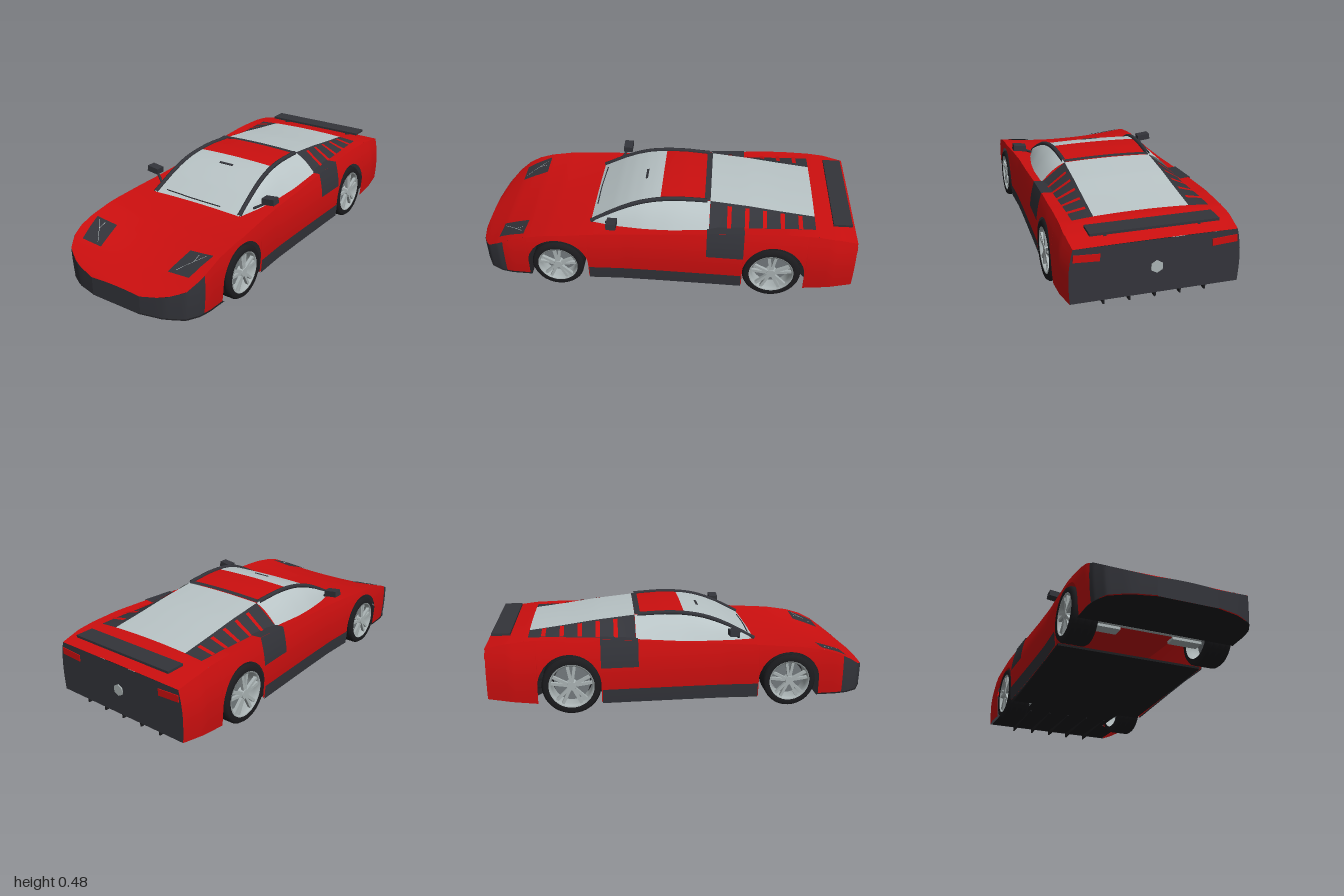
import * as THREE from 'three';

const paintOf = (name, color) => new THREE.MeshStandardMaterial({ name, color, side: THREE.DoubleSide });
const red = paintOf('body red', 0xcc0f0f);
const trim = paintOf('dark trim', 0x33343a);
const glass = paintOf('pale glass', 0xb9c4c6);
const black = paintOf('rubber black', 0x1c1c1f);
const steel = paintOf('wheel silver', 0xaab3b4);
const shade = paintOf('brake grey', 0x737a7d);

// Piecewise curve through [z, value] pairs, listed from front to back
const curve = pts => z => {
  let i = 1;
  while (i < pts.length - 1 && z < pts[i][0]) i++;
  const [a, b] = [pts[i - 1], pts[i]];
  const t = THREE.MathUtils.clamp((z - a[0]) / (b[0] - a[0]), 0, 1);
  return a[1] + (b[1] - a[1]) * t;
};
const range = (a, b, n) => Array.from({ length: n + 1 }, (_, i) => a + (b - a) * i / n);

// Main lines of the body along z
const width = curve([[0.997, 0.15], [0.97, 0.27], [0.92, 0.36], [0.86, 0.393], [0.8, 0.405], [0.54, 0.414], [0.2, 0.402],
  [0, 0.405], [-0.3, 0.412], [-0.6, 0.421], [-0.88, 0.418], [-1, 0.4]]);
const belt = curve([[0.997, 0.145], [0.97, 0.165], [0.92, 0.2], [0.865, 0.238], [0.8, 0.27], [0.72, 0.295], [0.6, 0.314], [0.36, 0.332],
  [0, 0.35], [-0.25, 0.37], [-0.45, 0.382], [-0.65, 0.39], [-0.8, 0.386], [-0.9, 0.374], [-1, 0.352]]);
const centre = curve([[0.997, 0.152], [0.92, 0.192], [0.86, 0.222], [0.72, 0.268], [0.6, 0.294], [0.36, 0.326], [0, 0.34],
  [-0.25, 0.36], [-0.6, 0.372], [-0.79, 0.393], [-0.9, 0.378], [-1, 0.354]]);
const roof = curve([[0.375, 0.328], [0.25, 0.396], [0.18, 0.427], [0.11, 0.45], [0.05, 0.462], [-0.02, 0.469], [-0.1, 0.471],
  [-0.25, 0.463], [-0.45, 0.442], [-0.61, 0.419], [-0.79, 0.396]]);
const roofEdge = curve([[0.375, 0.27], [0, 0.237], [-0.22, 0.228], [-0.79, 0.23]]);
const glassFoot = curve([[0.375, 0.276], [0.25, 0.312], [0.1, 0.336], [-0.05, 0.348], [-0.25, 0.35], [-0.3, 0.335], [-0.79, 0.33]]);
const sideX = (z, y) => width(z) - 0.025 * ((y - 0.2) / 0.17) ** 2 * (y > 0.2 ? 1 : 0.5);
const deckY = (x, z) => {
  const s = x / sideX(z, belt(z));
  return centre(z) + (belt(z) - centre(z)) * s * s;
};
const arches = [{ z: 0.54, y: 0.14, ry: 0.15 }, { z: -0.59, y: 0.15, ry: 0.165 }];
const bottom = z => {
  for (const a of arches) {
    const d = Math.abs(z - a.z) / 0.16;
    if (d < 1) return a.y + a.ry * Math.sqrt(1 - d * d);
  }
  return z < -0.75 ? 0.06 + (-0.75 - z) * 0.12 : 0.055;
};

export function createModel() {
  const car = new THREE.Group();
  car.name = 'sportsCar';
  const add = (name, geo, mat, parent = car) => {
    const m = new THREE.Mesh(geo, mat);
    m.name = name;
    parent.add(m);
    return m;
  };
  const box = (name, mat, size, pos, parent = car) => {
    const m = add(name, new THREE.BoxGeometry(...size), mat, parent);
    m.position.set(...pos);
    return m;
  };
  // Smooth sheet over a grid of (u, v)
  const sheet = (name, mat, us, vs, f, mirror = 1) => {
    const pos = [], idx = [], n = vs.length;
    us.forEach(u => vs.forEach(v => { const p = f(u, v); pos.push(p[0] * mirror, p[1], p[2]); }));
    for (let i = 0; i < us.length - 1; i++) for (let j = 0; j < n - 1; j++) {
      const a = i * n + j;
      if (mirror > 0) idx.push(a, a + 1, a + n, a + 1, a + n + 1, a + n);
      else idx.push(a, a + n, a + 1, a + 1, a + n, a + n + 1);
    }
    const g = new THREE.BufferGeometry();
    g.setAttribute('position', new THREE.Float32BufferAttribute(pos, 3));
    g.setIndex(idx);
    g.computeVertexNormals();
    return add(name, g, mat);
  };
  const tube = (name, mat, pts, r) => add(name, new THREE.TubeGeometry(
    new THREE.CatmullRomCurve3(pts.map(p => new THREE.Vector3(...p))), 24, r, 8), mat);

  // Stations along the flank, doubled at the arch edges for crisp cut-outs
  const stations = [...range(0.83, -1, 90)];
  for (const a of arches) for (const e of [0.16, -0.16]) stations.push(a.z + e + 0.0005, a.z + e - 0.0005, a.z + e * 0.985, a.z + e * 0.95);
  stations.sort((a, b) => b - a);
  const noseZ = range(0.997, 0.83, 20), unit = range(0, 1, 8), across = range(-1, 1, 16);

  // Bonnet, shoulders and tail deck
  sheet('upperBody', red, range(0.997, -1, 100), across, (z, s) => {
    const x = s * sideX(z, belt(z));
    return [x, deckY(x, z), z];
  });
  // End panels
  sheet('nosePanel', trim, across, unit, (s, t) => {
    const x = s * sideX(0.997, belt(0.997));
    return [x, 0.05 + (deckY(x, 0.997) - 0.05) * t, 0.997];
  });
  sheet('tailPanel', trim, across, unit, (s, t) => {
    const y = 0.09 + (belt(-1) - 0.09) * t;
    return [s * sideX(-1, y), y, -1];
  });
  // Roof sheets, front to back
  const crown = (z, s) => [s * roofEdge(z), roof(z) + 0.006 * (1 - s * s), z];
  sheet('windscreen', glass, range(0.375, 0.01, 20), across, crown);
  sheet('roofPanel', red, range(0.01, -0.22, 12), across, crown);
  sheet('roofBar', trim, range(-0.22, -0.25, 2), across, (z, s) => { const p = crown(z, s); p[1] += 0.003; return p; });
  sheet('engineCover', glass, range(-0.25, -0.79, 20), across, crown);

  for (const m of [1, -1]) {
    const side = m > 0 ? 'left' : 'right';
    const flank = (z, t) => {
      const y = bottom(z) + (belt(z) - bottom(z)) * t;
      return [sideX(z, y), y, z];
    };
    sheet(side + 'Flank', red, stations, unit, flank, m);
    sheet(side + 'Bumper', trim, noseZ, unit, flank, m);
    sheet(side + 'Sill', trim, range(0.375, -0.425, 20), [0.05, 0.09, 0.125], (z, y) => [sideX(z, y) + 0.005, y, z], m);
    // Air intake patch wrapping over the shoulder
    const patch = range(-0.24, -0.43, 8);
    sheet(side + 'Intake', trim, patch, unit, (z, t) => {
      const y = 0.24 + (belt(z) + 0.003 - 0.24) * t;
      return [sideX(z, y) + 0.004, y, z];
    }, m);
    sheet(side + 'IntakeTop', trim, patch, unit, (z, t) => {
      const x = 0.32 + (sideX(z, belt(z)) + 0.004 - 0.32) * t;
      return [x, deckY(x, z) + 0.004, z];
    }, m);

    // Side glass and louvred buttress between roof edge and deck
    const slope = lift => (z, t) => {
      const x0 = roofEdge(z), x1 = glassFoot(z), y1 = deckY(x1, z);
      return [x0 + (x1 - x0) * t + lift, roof(z) + (y1 - roof(z)) * t + lift + 0.012 * Math.sin(t * Math.PI) * (z > -0.25 ? 1 : 0), z];
    };
    sheet(side + 'Window', glass, range(0.375, -0.249, 24), unit, slope(0), m);
    sheet(side + 'Buttress', trim, range(-0.25, -0.79, 20), unit, slope(0), m);
    for (let i = 0; i < 5; i++) {
      const z = -0.35 - i * 0.091;
      sheet(side + 'Louvre', red, [z + 0.011, z - 0.011], [0.12, 0.5, 1], slope(0.005), m);
    }
    // Roof rail running down the screen pillar
    tube(side + 'Pillar', trim, range(0.375, -0.235, 12).map(z => [m * roofEdge(z), roof(z) + 0.001, z]), 0.012);

    // Headlamp with a thin branching light strip
    const lamp = (u, v) => {
      const xa = 0.366 + (0.232 - 0.366) * u, xb = 0.333 + (0.21 - 0.333) * u;
      const x = xa + (xb - xa) * v, z = 0.72 + 0.143 * v;
      return [x, deckY(x, z) + 0.005, z];
    };
    sheet(side + 'Headlamp', trim, unit, unit, lamp, m);
    for (const [a, b] of [[[0.2, 0.1], [0.75, 0.9]], [[0.5, 0.12], [0.42, 0.42]]]) {
      sheet(side + 'LampStrip', steel, unit, [-0.012, 0.012], (t, w) => {
        const p = lamp(a[0] + (b[0] - a[0]) * t + w, a[1] + (b[1] - a[1]) * t);
        return [p[0], p[1] + 0.003, p[2]];
      }, m);
    }

    // Door mirror
    tube(side + 'MirrorArm', trim, [[m * 0.3, 0.348, 0.29], [m * 0.33, 0.365, 0.27], [m * 0.36, 0.383, 0.255]], 0.007);
    const mirror = box(side + 'Mirror', trim, [0.07, 0.032, 0.05], [m * 0.374, 0.395, 0.25]);
    mirror.rotation.z = m * 0.12;

    // Tail lamp and wing support
    const lampBack = box(side + 'TailLamp', red, [0.12, 0.034, 0.008], [m * 0.32, 0.305, -1]);
    lampBack.rotation.z = m * 0.06;
    box(side + 'WingPost', trim, [0.012, 0.035, 0.04], [m * 0.22, 0.383, -0.92]);
  }

  // Rear wing, screen fittings and exhaust
  box('rearWing', trim, [0.6, 0.012, 0.095], [0, 0.398, -0.928]);
  const cabinMirror = box('cabinMirror', trim, [0.084, 0.004, 0.012], [0, 0.46, 0.1]);
  cabinMirror.rotation.x = 0.35;
  tube('wiper', trim, [[-0.21, 0.347, 0.352], [-0.02, 0.345, 0.36], [0.145, 0.343, 0.358]], 0.003);
  const exhaust = add('exhaust', new THREE.CylinderGeometry(0.03, 0.03, 0.012, 6), steel);
  exhaust.rotation.x = Math.PI / 2;
  exhaust.position.set(0, 0.22, -1);

  // Underbody
  sheet('frontFloor', black, range(0.998, 0.69, 24), across, (z, s) => [s * (width(z) - 0.006), 0.049, z]);
  box('middleFloor', black, [0.78, 0.012, 0.81], [0, 0.056, -0.025]);
  sheet('rearFloor', black, range(-0.43, -1, 8), across, (z, s) => [s * (z < -0.74 ? 0.385 : 0.275), 0.06 + (-0.43 - z) * 0.055, z]);
  for (const x of [-0.24, -0.12, 0, 0.12, 0.24]) box('diffuserFin', black, [0.008, 0.025, 0.4], [x, 0.075, -0.79]);

  // Wheels: outer face points along local +x
  const lathe = pts => new THREE.LatheGeometry(pts.map(p => new THREE.Vector2(...p)), 40).rotateZ(-Math.PI / 2);
  const makeWheel = (R, w) => {
    const g = new THREE.Group(), h = w / 2, r = R * 0.77;
    const tread = [];
    for (const k of [-0.5, 0, 0.5]) tread.push([R, k * h - 0.006], [R - 0.006, k * h - 0.003], [R - 0.006, k * h + 0.003], [R, k * h + 0.006]);
    add('tyre', lathe([[r, -h], [R * 0.93, -h], [R, -h * 0.8], ...tread, [R, h * 0.8], [R * 0.93, h], [r, h * 0.96]]), black, g);
    add('rim', lathe([[r, -h], [r * 0.9, -h * 0.6], [r * 0.88, h * 0.6], [r * 0.92, h * 0.93], [r, h * 0.96]]), steel, g);
    add('brakeDisc', new THREE.CylinderGeometry(r * 0.8, r * 0.8, 0.012, 32).rotateZ(Math.PI / 2), shade, g);
    add('hub', new THREE.CylinderGeometry(r * 0.2, r * 0.26, 0.03, 20).rotateZ(-Math.PI / 2), steel, g).position.x = h * 0.72;
    for (let i = 0; i < 5; i++) for (const d of [-0.17, 0.17]) {
      const spoke = new THREE.Group();
      spoke.rotation.x = i * Math.PI * 0.4 + d;
      box('spoke', steel, [0.016, r * 0.8, r * 0.13], [h * 0.78, r * 0.53, 0], spoke);
      g.add(spoke);
    }
    return g;
  };
  for (const [label, z, R] of [['front', 0.54, 0.137], ['rear', -0.58, 0.15]]) {
    for (const m of [1, -1]) {
      const wheel = makeWheel(R, 0.134);
      wheel.name = label + (m > 0 ? 'Left' : 'Right') + 'Wheel';
      wheel.position.set(m * 0.352, R, z);
      if (m < 0) wheel.rotation.y = Math.PI;
      car.add(wheel);
      // Coil spring over the suspension arm
      for (let i = 0; i < 5; i++) {
        const coil = add('spring', new THREE.TorusGeometry(0.022, 0.005, 6, 16).rotateX(Math.PI / 2), steel);
        coil.position.set(m * 0.22, 0.15 + i * 0.02, z);
      }
      box('suspensionArm', steel, [0.16, 0.014, 0.06], [m * 0.22, 0.1, z]);
    }
    add(label + 'Axle', new THREE.CylinderGeometry(0.014, 0.014, 0.62, 12).rotateZ(Math.PI / 2), steel).position.set(0, R, z);
  }
  return car;
}
